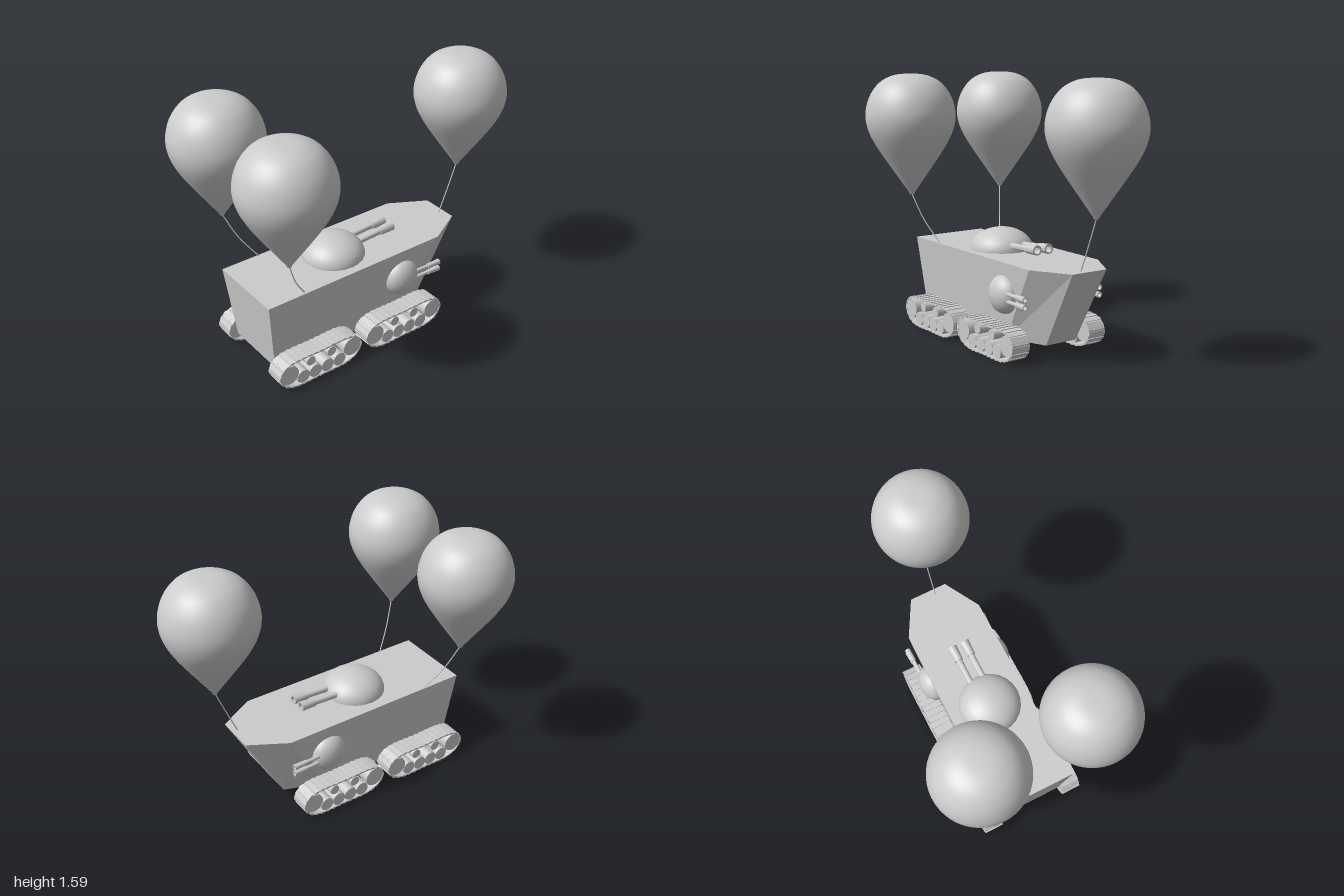
import * as THREE from 'three';
import { mergeGeometries, toCreasedNormals } from 'three/addons/utils/BufferGeometryUtils.js';

const material = new THREE.MeshStandardMaterial({ color: 0xcccccc });

function add(parent, name, geometry, x = 0, y = 0, z = 0) {
  const mesh = new THREE.Mesh(geometry, material);
  mesh.name = name;
  mesh.position.set(x, y, z);
  parent.add(mesh);
  return mesh;
}

const pts2 = (list) => list.map(([x, y]) => new THREE.Vector2(x, y));
const pts3 = (list) => list.map((p) => new THREE.Vector3(...p));

// Tapered hull with a raked, chamfered bow: a bottom and a top outline joined
function hullGeometry() {
  const ring = (y, front, frontHalf, shoulder, half, rear) => [
    [front, y, -frontHalf], [shoulder, y, -half], [rear, y, -half],
    [rear, y, half], [shoulder, y, half], [front, y, frontHalf],
  ];
  const bottom = ring(0.09, 0.38, 0.105, 0.13, 0.2, -0.757);
  const top = ring(0.545, 0.63, 0.118, 0.405, 0.243, -0.805);
  const v = [];
  for (let i = 0; i < 6; i++) {
    const j = (i + 1) % 6;
    v.push(bottom[i], bottom[j], top[j], bottom[i], top[j], top[i]);
    if (i > 0 && i < 5) v.push(top[0], top[i], top[j], bottom[0], bottom[j], bottom[i]);
  }
  const g = new THREE.BufferGeometry();
  g.setAttribute('position', new THREE.Float32BufferAttribute(v.flat(), 3));
  g.computeVertexNormals();
  return g;
}

// Gun barrel along +x with a wider, hollow muzzle
function barrelGeometry(r, muzzleR, muzzleStart, length) {
  const g = new THREE.LatheGeometry(pts2([
    [0, 0], [r, 0], [r, muzzleStart], [muzzleR * 0.85, muzzleStart], [muzzleR, length],
    [muzzleR * 0.68, length], [muzzleR * 0.68, length - 0.05], [0, length - 0.05],
  ]), 16);
  g.rotateZ(-Math.PI / 2);
  return toCreasedNormals(g, 0.6);
}

// Closed belt of link plates, each with a raised grouser
function beltGeometry(width) {
  const path = new THREE.CatmullRomCurve3(pts3([
    [-0.279, 0.1, 0], [-0.255, 0.153, 0], [-0.2, 0.178, 0], [0, 0.18, 0],
    [0.2, 0.178, 0], [0.255, 0.153, 0], [0.279, 0.1, 0], [0.25, 0.045, 0],
    [0.18, 0.013, 0], [0, 0.01, 0], [-0.18, 0.013, 0], [-0.25, 0.045, 0],
  ]), true);
  const count = 32;
  const step = path.getLength() / count;
  const links = [];
  for (let i = 0; i < count; i++) {
    const p = path.getPointAt(i / count);
    const t = path.getTangentAt(i / count);
    const plate = new THREE.BoxGeometry(step * 1.06, 0.007, width);
    const grouser = new THREE.BoxGeometry(step * 0.55, 0.006, width);
    grouser.translate(0, 0.005, 0);
    for (const g of [plate, grouser]) {
      g.rotateZ(Math.atan2(t.y, t.x));
      g.translate(p.x, p.y, 0);
      links.push(g);
    }
  }
  return mergeGeometries(links);
}

// One track unit: belt, end wheels, road wheels and return rollers
function makeTrack(name) {
  const track = new THREE.Group();
  track.name = name;
  const width = 0.118;
  add(track, 'belt', beltGeometry(width));
  const wheel = (label, x, y, r) => {
    const g = new THREE.CylinderGeometry(r, r, width * 0.96, 24);
    g.rotateX(Math.PI / 2);
    add(track, label, g, x, y, 0);
  };
  for (const s of [-1, 1]) {
    wheel('endWheel', s * 0.218, 0.105, 0.06);
    wheel('returnRoller', s * 0.072, 0.14, 0.03);
  }
  for (let i = 0; i < 4; i++) wheel('roadWheel', -0.126 + i * 0.084, 0.055, 0.042);
  return track;
}

// Teardrop balloon with its knot at the local origin
function balloonGeometry() {
  const profile = new THREE.SplineCurve(pts2([
    [0.016, 0.01], [0.085, 0.11], [0.155, 0.212], [0.215, 0.305], [0.257, 0.39],
    [0.275, 0.47], [0.268, 0.545], [0.24, 0.62], [0.19, 0.685], [0.13, 0.722],
    [0.07, 0.738], [0, 0.741],
  ])).getPoints(44);
  profile[profile.length - 1].x = 0;
  return new THREE.LatheGeometry([new THREE.Vector2(0, 0), new THREE.Vector2(0.014, 0), ...profile], 48);
}

export function createModel() {
  const model = new THREE.Group();
  model.name = 'balloonTank';

  const vehicle = new THREE.Group();
  vehicle.name = 'vehicle';
  vehicle.position.z = 0.005;
  model.add(vehicle);
  add(vehicle, 'hull', hullGeometry());

  // Top turret with twin guns
  const dome = new THREE.SphereGeometry(0.188, 24, 12, 0, Math.PI * 2, 0, Math.PI / 2);
  dome.scale(1, 0.68, 1);
  add(vehicle, 'turretDome', dome, -0.2, 0.544, 0.005);
  for (const s of [-1, 1]) {
    const gun = add(vehicle, 'turretGun', barrelGeometry(0.019, 0.03, 0.215, 0.31), -0.1, 0.58, s * 0.041);
    gun.rotation.z = 0.06;
  }

  for (const side of [-1, 1]) {
    const label = side > 0 ? 'Left' : 'Right';

    // Side blister with two stacked guns
    const blister = new THREE.SphereGeometry(0.113, 24, 16);
    blister.scale(1, 1, 0.72);
    add(vehicle, 'sideBlister' + label, blister, 0.14, 0.356, side * 0.221);
    for (const s of [-1, 1]) {
      const gun = add(vehicle, 'sideGun' + label, barrelGeometry(0.011, 0.018, 0.13, 0.215),
        0.185, 0.356 + s * 0.022, side * 0.258);
      gun.rotation.y = -side * 0.03;
    }

    // Rear and front tracks
    for (const [name, x] of [['rearTrack', -0.522], ['frontTrack', 0.087]]) {
      const track = makeTrack(name + label);
      track.position.set(x, 0, side * 0.271);
      vehicle.add(track);
    }
  }

  // Balloons: knot position, string midpoint, deck anchor
  const balloons = [
    ['balloonFront', [0.72, 0.85, 0.038], [0.66, 0.7, 0.038], [0.592, 0.54, 0.038]],
    ['balloonRearLeft', [-0.715, 0.836, 0.33], [-0.648, 0.68, 0.285], [-0.555, 0.54, 0.228]],
    ['balloonRearRight', [-0.725, 0.836, -0.335], [-0.656, 0.68, -0.285], [-0.56, 0.54, -0.224]],
  ];
  const balloon = balloonGeometry();
  for (const [name, knot, middle, anchor] of balloons) {
    add(model, name, balloon, ...knot);
    const path = new THREE.CatmullRomCurve3(pts3([knot, middle, anchor]));
    add(model, name + 'String', new THREE.TubeGeometry(path, 20, 0.0035, 8));
  }
  return model;
}
